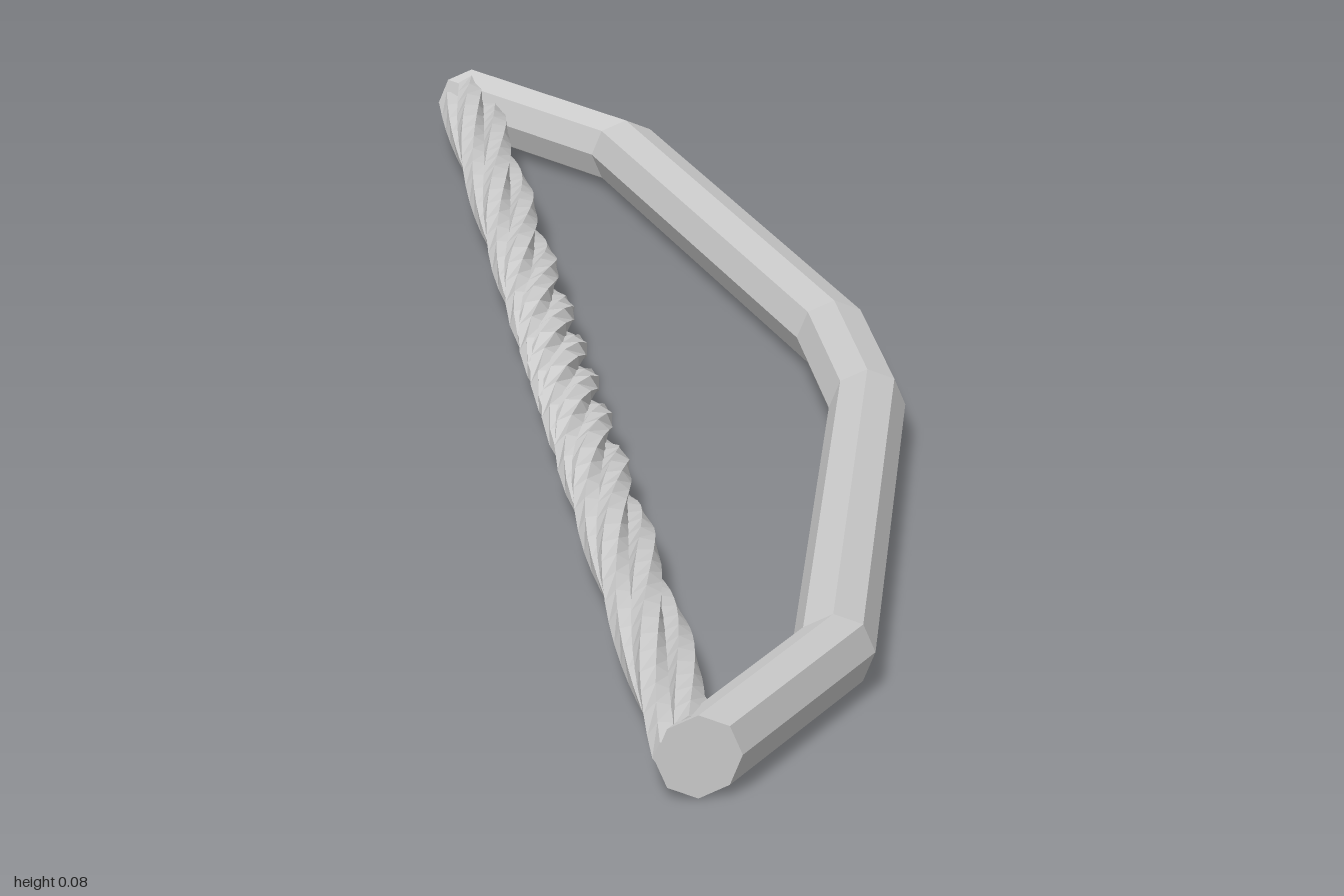
import * as THREE from 'three';

const RADIUS = 0.038;
const GRIP_Y = 0.038;
const material = new THREE.MeshStandardMaterial({ color: 0xcccccc, flatShading: true });

// Joins rings of equal size (each an array of Vector3, ordered along +z) into a capped solid
function loft(rings) {
  const n = rings[0].length, index = [], points = rings.flat();
  for (let i = 0; i < rings.length - 1; i++) {
    for (let j = 0; j < n; j++) {
      const a = i * n + j, b = i * n + (j + 1) % n;
      index.push(a, b, b + n, a, b + n, a + n);
    }
  }
  const last = (rings.length - 1) * n;
  for (let j = 1; j < n - 1; j++) {
    index.push(0, j + 1, j, last, last + j, last + j + 1);
  }
  const geometry = new THREE.BufferGeometry().setFromPoints(points);
  geometry.setIndex(index);
  const flat = geometry.toNonIndexed();
  flat.computeVertexNormals();
  return flat;
}

// Regular ring parallel to the xy plane
function ring(x, y, z, radius, sides, turn = 0) {
  return Array.from({ length: sides }, (_, j) => {
    const a = turn + (j / sides) * Math.PI * 2;
    return new THREE.Vector3(x + Math.cos(a) * radius, y + Math.sin(a) * radius, z);
  });
}

export function createModel() {
  const model = new THREE.Group();
  model.name = 'bow';

  // Bent octagonal stave, cut square at both tips
  const half = [[0.141, 0.11], [0.008, 0.775], [-0.141, 1]];
  const path = [...half.map(([x, z]) => [x, -z]).reverse(), ...half];
  const stave = new THREE.Mesh(loft(path.map(([x, z]) => ring(x, GRIP_Y, z, RADIUS, 8))), material);
  stave.name = 'stave';
  model.add(stave);

  // Bowstring of four strands, wound tighter toward the middle
  const bowstring = new THREE.Group();
  bowstring.name = 'bowstring';
  const strands = 4, steps = 56;
  for (let s = 0; s < strands; s++) {
    const rings = [];
    for (let i = 0; i <= steps; i++) {
      const z = -0.99 + (i / steps) * 1.98;
      const turn = 5 * z + 3 * Math.tanh(z / 0.3) + (s / strands) * Math.PI * 2;
      const x = -0.145 + Math.cos(turn) * 0.019;
      const y = GRIP_Y + Math.sin(turn) * 0.019;
      rings.push(ring(x, y, z, 0.0155, 6, turn));
    }
    const strand = new THREE.Mesh(loft(rings), material);
    strand.name = 'strand' + (s + 1);
    bowstring.add(strand);
  }
  model.add(bowstring);
  return model;
}
